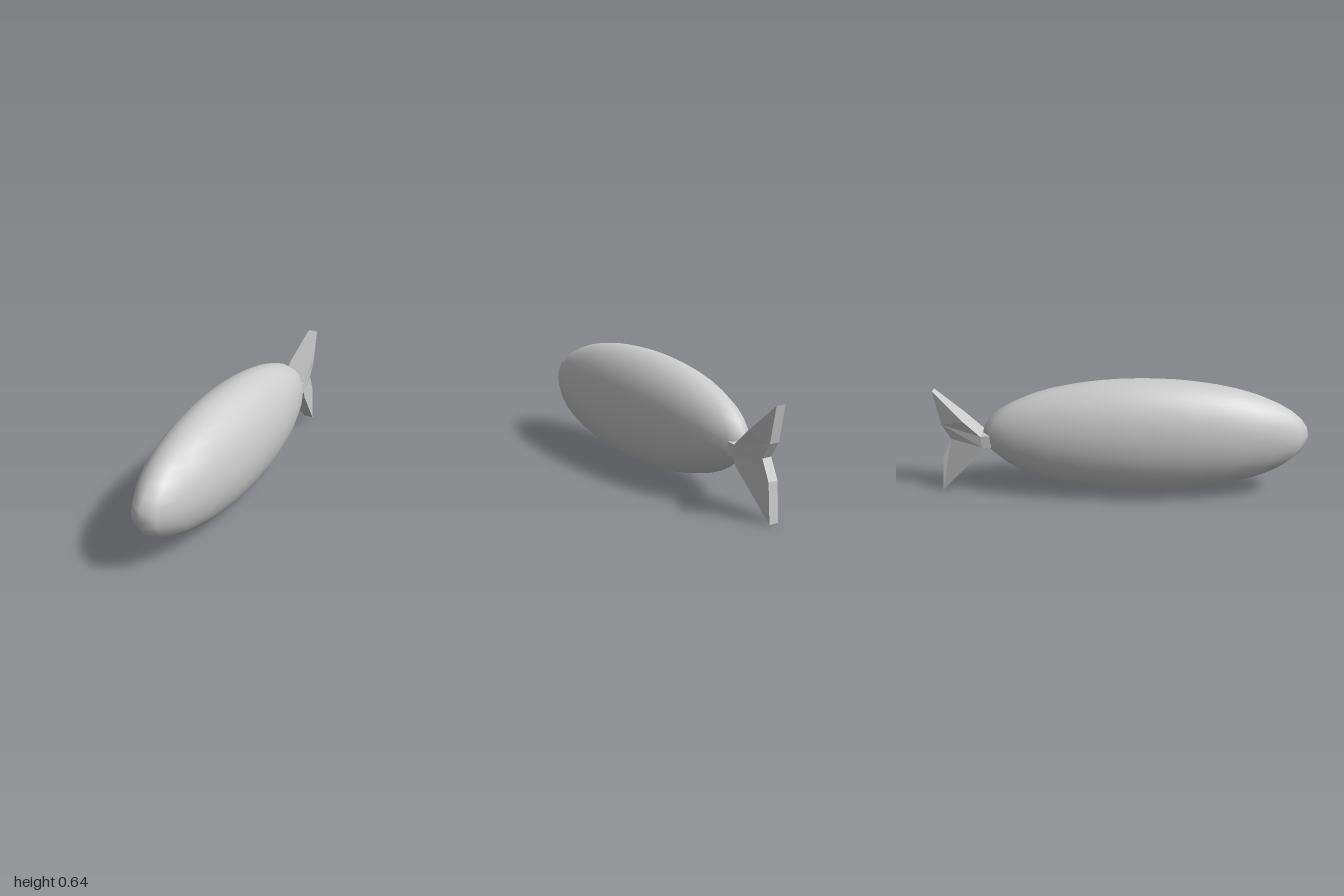
import * as THREE from 'three';

// Forked tail: side outline extruded across x, thinner toward the trailing edge
function tailGeometry() {
  const outline = [ // [z, y]
    [-0.70, 0.34], [-0.75, 0.335], [-0.84, 0.42], [-1, 0.573], [-0.964, 0.386], [-0.916, 0.305],
    [-0.964, 0.203], [-0.98, 0], [-0.76, 0.236], [-0.745, 0.275], [-0.70, 0.268],
  ];
  const shape = new THREE.Shape(outline.map(([z, y]) => new THREE.Vector2(z, y)));
  const geo = new THREE.ExtrudeGeometry(shape, { depth: 2, bevelEnabled: false });
  const pos = geo.attributes.position;
  for (let i = 0; i < pos.count; i++) {
    const z = pos.getX(i), y = pos.getY(i), side = 1 - pos.getZ(i);
    const rear = z < -0.85;
    const x = side * (rear ? 0.027 : 0.066) + (rear ? 0.006 : -0.001);
    pos.setXYZ(i, x, y, z);
  }
  geo.computeVertexNormals();
  return geo;
}

export function createModel() {
  const group = new THREE.Group();

  // Smooth ellipsoid body
  const bodyGeo = new THREE.SphereGeometry(1, 20, 20);
  bodyGeo.scale(0.215, 0.312, 0.873);
  bodyGeo.translate(0, 0.329, 0.127);
  const body = new THREE.Mesh(bodyGeo, new THREE.MeshStandardMaterial({ color: 0xcccccc }));
  body.name = 'body';

  // Flat-faced tail fin with its short stub
  const tail = new THREE.Mesh(tailGeometry(),
    new THREE.MeshStandardMaterial({ color: 0xcccccc, flatShading: true }));
  tail.name = 'tailFin';

  group.add(body, tail);
  return group;
}
